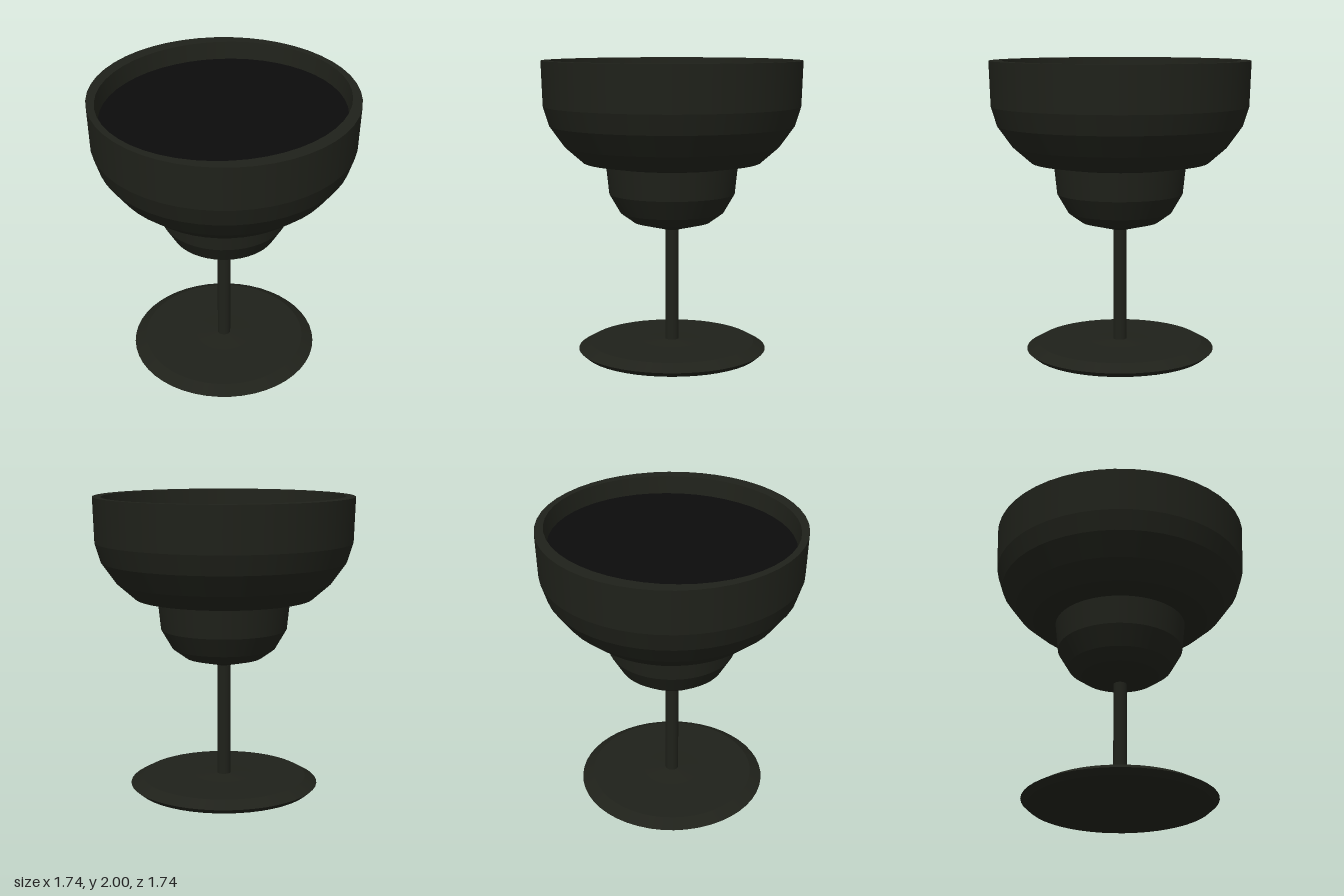
import * as THREE from 'three';
import { mergeGeometries } from 'three/addons/utils/BufferGeometryUtils.js';

const SIDES = 48;

// Revolve a profile with crisp rings between bands, smooth around the axis.
function banded(profile, sides = SIDES) {
  const bands = [];
  for (let i = 0; i < profile.length - 1; i++) {
    const pair = [profile[i], profile[i + 1]].map(([r, y]) => new THREE.Vector2(r, y));
    bands.push(new THREE.LatheGeometry(pair, sides));
  }
  return mergeGeometries(bands);
}

export function createModel() {
  const glass = new THREE.MeshStandardMaterial({ color: 0x1f211a });
  const drink = new THREE.MeshStandardMaterial({ color: 0x0b0b0b });
  const model = new THREE.Group();
  model.name = 'stemmedGlass';

  const add = (name, geometry, material = glass) => {
    const mesh = new THREE.Mesh(geometry, material);
    mesh.name = name;
    model.add(mesh);
    return mesh;
  };

  // Foot: bevelled disc rising slightly to the stem
  add('foot', banded([
    [0, 0], [0.6, 0.005], [0.64, 0.04], [0.56, 0.085], [0.2, 0.088], [0.04, 0.097], [0, 0.097],
  ]));

  // Stem
  const stem = add('stem', new THREE.CylinderGeometry(0.045, 0.045, 0.79, 24, 1, true));
  stem.position.y = 0.48;

  // Stepped bowl: small lower cup widening into the large upper cup
  add('bowl', banded([
    [0, 0.855], [0.04, 0.86], [0.26, 0.915], [0.35, 0.98], [0.425, 1.11], [0.445, 1.3],
    [0.6, 1.325], [0.72, 1.43], [0.82, 1.57], [0.86, 1.7], [0.87, 2],
  ]));

  // Rim and inner wall: the opening is slightly narrower along z
  const opening = 0.945;
  const rim = banded([[0.87, 2], [0.827, 2], [0.808, 1.87]]);
  const pos = rim.attributes.position;
  for (let i = 0; i < pos.count; i++) {
    if (Math.hypot(pos.getX(i), pos.getZ(i)) < 0.85) pos.setZ(i, pos.getZ(i) * opening);
  }
  add('rim', rim);

  // Drink surface filling the bowl
  const surface = new THREE.CircleGeometry(0.81, SIDES).rotateX(-Math.PI / 2).scale(1, 1, opening);
  add('drinkSurface', surface, drink).position.y = 1.88;

  return model;
}
